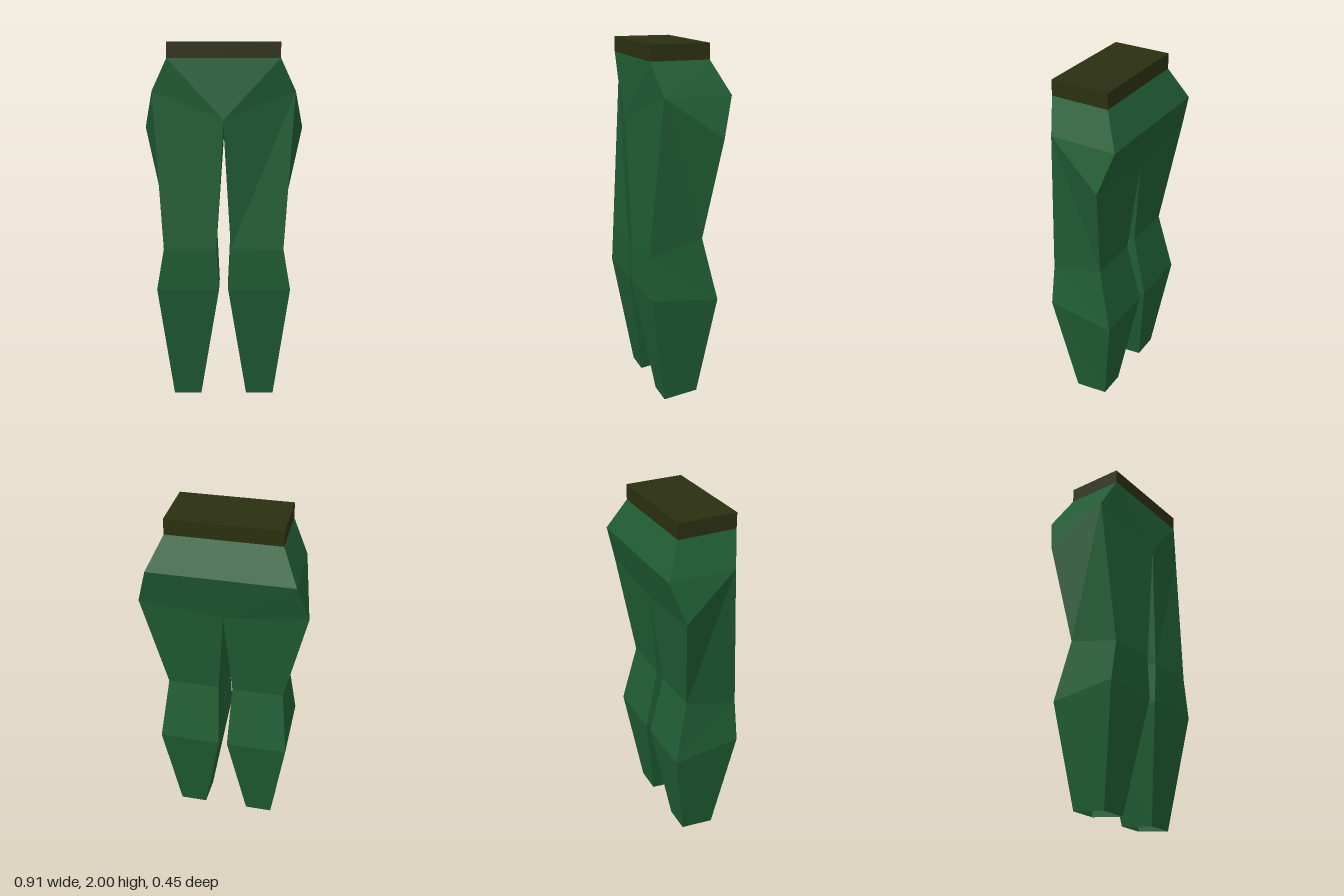
import * as THREE from 'three';

// Low-poly trousers with a belt; one half is described and mirrored.
const FRONT_CROTCH = [0, 1.59, 0.225], BACK_CROTCH = [0, 1.47, -0.155];
const HIP_FRONT = [0.39, 1.74, 0.14], HIP_BACK = [0.39, 1.74, -0.23], HIP_BACK_MID = [0, 1.74, -0.23];
const SEAT = [0.455, 1.525, -0.165];
const WAIST = { x: 0.305, y: 1.915, front: 0.185, back: -0.14 };

// Leg ring: front inner, front outer, back outer, back inner
const ring = (inner, outer, yFront, zFront, yBack, zBack) => [
  [inner, yFront, zFront], [outer, yFront, zFront], [outer, yBack, zBack], [inner, yBack, zBack],
];

const LEG_RINGS = [
  [FRONT_CROTCH, HIP_FRONT, SEAT, BACK_CROTCH],
  ring(0.04, 0.33, 0.88, 0.205, 0.96, -0.1), // above the knee
  ring(0.025, 0.37, 0.65, 0.205, 0.61, -0.18), // below the knee
  ring(0.13, 0.285, 0, 0.1, 0.025, -0.095), // open cuff
];

// Builds a mesh from triangles, flipping x and the winding for the right side
function facetMesh(name, triangles, side, material) {
  const points = [];
  for (const [a, b, c] of triangles) {
    for (const [x, y, z] of side > 0 ? [a, b, c] : [a, c, b]) points.push(side * x, y, z);
  }
  const geometry = new THREE.BufferGeometry();
  geometry.setAttribute('position', new THREE.Float32BufferAttribute(points, 3));
  geometry.computeVertexNormals();
  const mesh = new THREE.Mesh(geometry, material);
  mesh.name = name;
  return mesh;
}

// Leg: loft between the rings, cuff left open
function legTriangles() {
  const tris = [];
  for (let r = 0; r < LEG_RINGS.length - 1; r++) {
    const up = LEG_RINGS[r], low = LEG_RINGS[r + 1];
    for (let i = 0; i < 4; i++) {
      const j = (i + 1) % 4;
      if (i === 0) tris.push([low[i], low[j], up[j]], [low[i], up[j], up[i]]);
      else tris.push([low[i], low[j], up[i]], [low[j], up[j], up[i]]);
    }
  }
  return tris;
}

// Hip: facets between the waist and the top of the leg
function hipTriangles() {
  const { x, y, front, back } = WAIST;
  const wf = [x, y, front], wb = [x, y, back], wfMid = [0, y, front], wbMid = [0, y, back];
  return [
    [FRONT_CROTCH, wf, wfMid], [FRONT_CROTCH, HIP_FRONT, wf],
    [HIP_FRONT, HIP_BACK, wb], [HIP_FRONT, wb, wf],
    [HIP_FRONT, SEAT, HIP_BACK],
    [HIP_BACK, HIP_BACK_MID, wbMid], [HIP_BACK, wbMid, wb],
    [SEAT, BACK_CROTCH, HIP_BACK], [BACK_CROTCH, HIP_BACK_MID, HIP_BACK],
  ];
}

export function createModel() {
  const model = new THREE.Group();
  model.name = 'trousers';
  const cloth = new THREE.MeshStandardMaterial({ color: 0x1f5c32, flatShading: true, side: THREE.DoubleSide });
  const leather = new THREE.MeshStandardMaterial({ color: 0x2b3010, flatShading: true });

  for (const side of [1, -1]) {
    const label = side > 0 ? 'left' : 'right';
    model.add(facetMesh(label + 'Hip', hipTriangles(), side, cloth));
    model.add(facetMesh(label + 'Leg', legTriangles(), side, cloth));
  }

  // Belt
  const height = 2 - WAIST.y;
  const belt = new THREE.Mesh(new THREE.BoxGeometry(WAIST.x * 2, height, WAIST.front - WAIST.back), leather);
  belt.position.set(0, WAIST.y + height / 2, (WAIST.front + WAIST.back) / 2);
  belt.name = 'belt';
  model.add(belt);
  return model;
}
